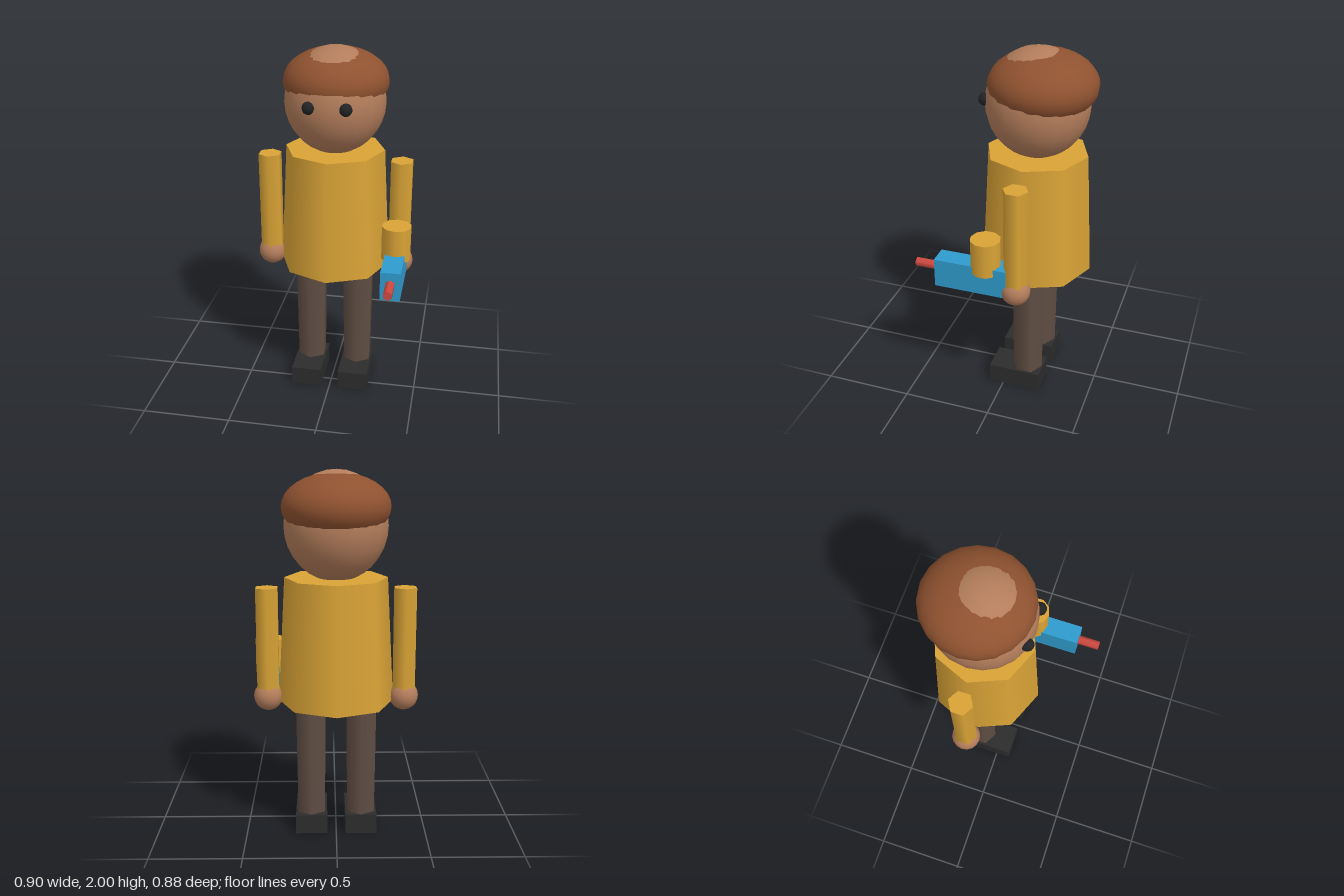
import * as THREE from 'three';

const CZ = -0.125; // depth of the body's vertical axis

function material(name, color) {
  const m = new THREE.MeshStandardMaterial({ color });
  m.name = name;
  return m;
}

function part(parent, name, geometry, mat, x, y, z) {
  const mesh = new THREE.Mesh(geometry, mat);
  mesh.name = name;
  mesh.position.set(x, y, z);
  parent.add(mesh);
  return mesh;
}

// Upright tapered prism between two heights
function column(parent, name, mat, rTop, rBottom, y0, y1, sides, x, z) {
  const g = new THREE.CylinderGeometry(rTop, rBottom, y1 - y0, sides);
  return part(parent, name, g, mat, x, (y0 + y1) / 2, z);
}

export function createModel() {
  const model = new THREE.Group();
  model.name = 'figure';

  const yellow = material('yellow', 0xd9a336);
  const skin = material('skin', 0xb37d5b);
  const hairBrown = material('hair brown', 0x8f5230);
  const trousers = material('trouser brown', 0x604e44);
  const black = material('shoe black', 0x2c2c2c);
  const eyeBlack = material('eye black', 0x222324);
  const blue = material('blue', 0x2f9bcd);
  const red = material('red', 0xcf4a42);

  // Body
  column(model, 'torso', yellow, 0.275, 0.313, 0.76, 1.44, 8, 0, CZ);

  // Head, with the crown showing through the flattened hair
  const head = new THREE.Group();
  head.name = 'head';
  model.add(head);
  part(head, 'skull', new THREE.SphereGeometry(1, 20, 16), skin, 0, 1.71, CZ)
    .scale.set(0.275, 0.29, 0.275);
  part(head, 'hair', new THREE.SphereGeometry(1, 20, 16), hairBrown, 0, 1.81, -0.15)
    .scale.set(0.286, 0.177, 0.287);

  // Mirrored parts
  for (const [side, s] of [['left', 1], ['right', -1]]) {
    part(head, side + 'Eye', new THREE.SphereGeometry(0.034, 12, 10), eyeBlack, s * 0.097, 1.73, 0.13);
    column(model, side + 'Arm', yellow, 0.067, 0.067, 0.78, 1.385, 6, s * 0.37, CZ);
    part(model, side + 'Hand', new THREE.SphereGeometry(0.08, 16, 12), skin, s * 0.37, 0.785, CZ);
    column(model, side + 'Leg', trousers, 0.094, 0.086, 0.1, 0.78, 6, s * 0.138, CZ);
    part(model, side + 'Shoe', new THREE.BoxGeometry(0.175, 0.11, 0.3), black, s * 0.138, 0.055, -0.067);
  }

  // Toy water blaster in the left hand
  const blaster = new THREE.Group();
  blaster.name = 'blaster';
  model.add(blaster);
  part(blaster, 'blasterBody', new THREE.BoxGeometry(0.108, 0.163, 0.4), blue, 0.368, 0.839, 0.115);
  column(blaster, 'blasterTank', yellow, 0.082, 0.082, 0.877, 1.07, 10, 0.368, 0.041);
  const nozzle = new THREE.CylinderGeometry(0.026, 0.026, 0.145, 6).rotateX(Math.PI / 2);
  part(blaster, 'blasterNozzle', nozzle, red, 0.368, 0.853, 0.3655);

  return model;
}
